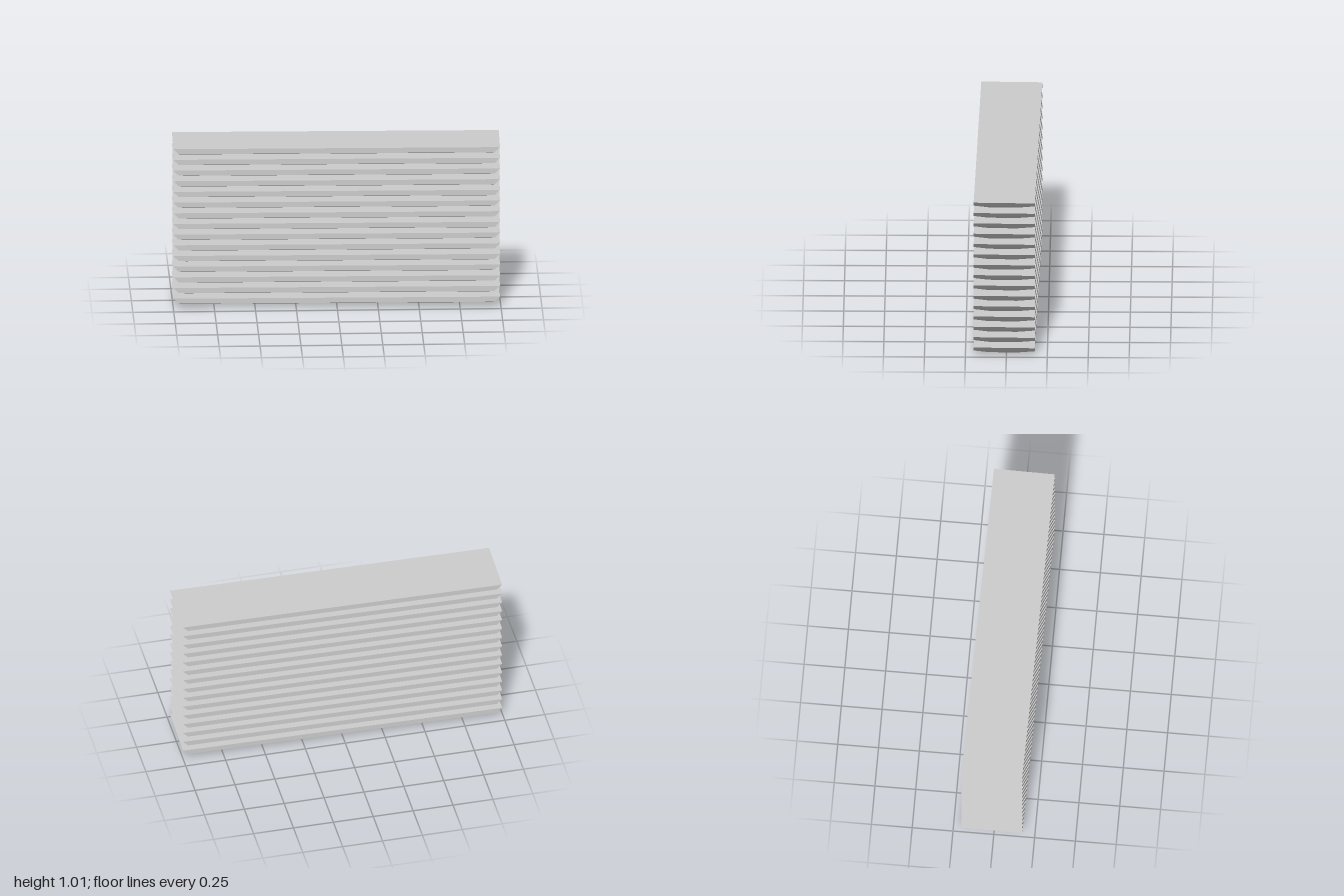
import * as THREE from 'three';

const COUNT = 15, PITCH = 0.068, HEIGHT = 0.06;

// Half length, height, half width and z shift of each level, bottom to top
const LEVELS = [
  { x: 0.92, y: 0, z: 0.087, shift: 0.01 },
  { x: 0.965, y: 0.028, z: 0.1865, shift: 0 },
  { x: 0.9975, y: HEIGHT, z: 0.1865, shift: 0 },
];

// Slab with bevelled ends and an underside that narrows to a keel
function slabGeometry() {
  const geo = new THREE.BoxGeometry(2, 2, 2, 1, 2, 1);
  const p = geo.attributes.position;
  for (let i = 0; i < p.count; i++) {
    const l = LEVELS[Math.round(p.getY(i)) + 1];
    p.setXYZ(i, p.getX(i) * l.x, l.y, p.getZ(i) * l.z + l.shift);
  }
  geo.computeVertexNormals();
  return geo;
}

export function createModel() {
  const model = new THREE.Group();
  model.name = 'slabStack';
  const material = new THREE.MeshStandardMaterial({ color: 0xcccccc, flatShading: true });
  const geometry = slabGeometry();

  // Evenly spaced slabs, each turned very slightly
  for (let i = 0; i < COUNT; i++) {
    const slab = new THREE.Mesh(geometry, material);
    slab.name = `slab${i + 1}`;
    slab.position.y = i * PITCH + 0.0005;
    slab.rotation.set(-0.005, -0.0135, 0);
    model.add(slab);
  }
  return model;
}
